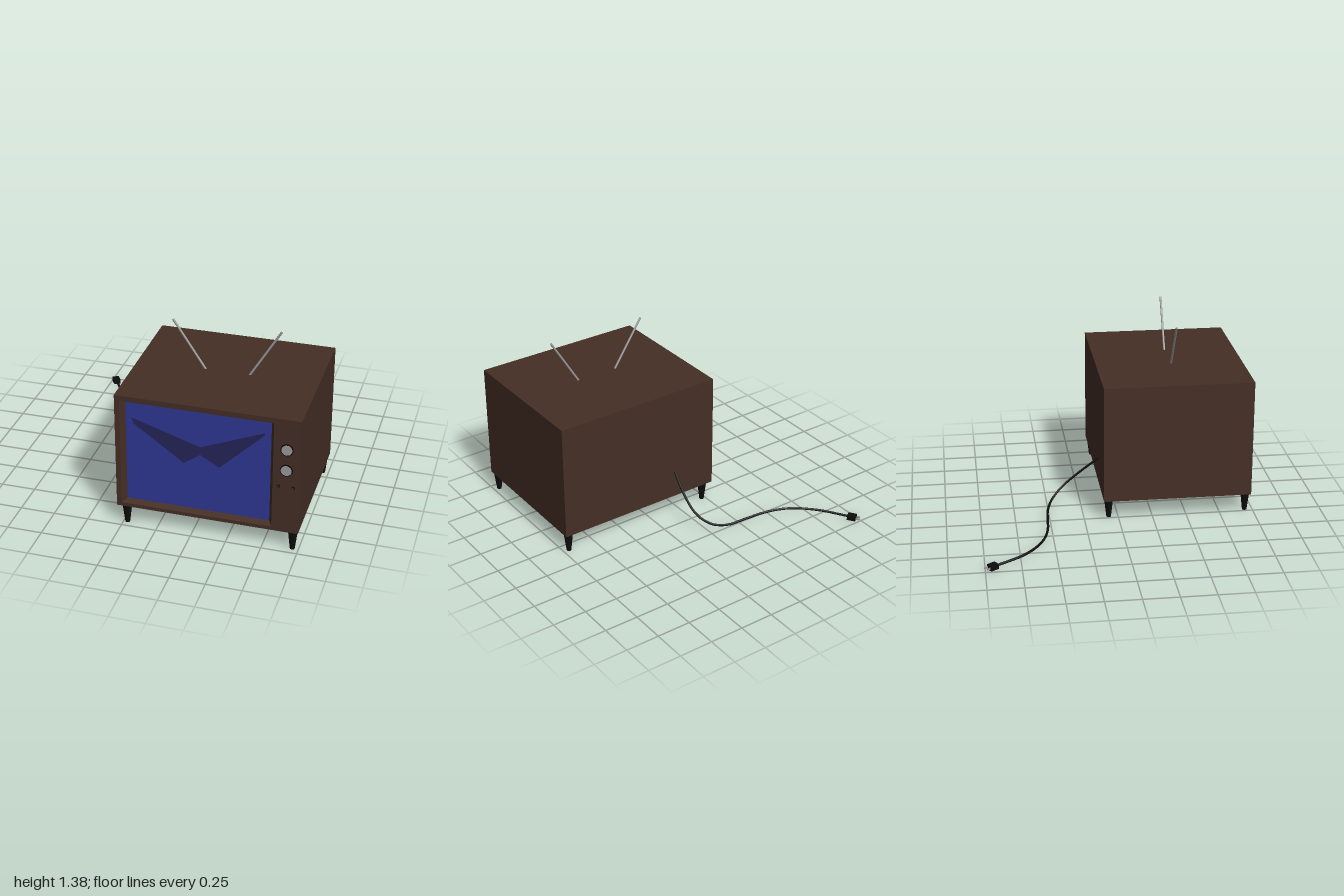
import * as THREE from 'three';

const mat = (name, color, side = THREE.FrontSide) => {
  const m = new THREE.MeshStandardMaterial({ color, side });
  m.name = name;
  return m;
};

export function createModel() {
  const wood = mat('brown wood', 0x452f25);
  const black = mat('black plastic', 0x0d0d0d);
  const metal = mat('grey metal', 0x9c9c9c);
  const blue = mat('screen blue', 0x2f3894);
  const navy = mat('dark screen mark', 0x25245a);

  const model = new THREE.Group();
  model.name = 'television';

  const add = (name, geometry, material, x = 0, y = 0, z = 0, parent = model) => {
    const mesh = new THREE.Mesh(geometry, material);
    mesh.name = name;
    mesh.position.set(x, y, z);
    parent.add(mesh);
    return mesh;
  };
  const polygon = (pts) => new THREE.Shape(pts.map(([x, y]) => new THREE.Vector2(x, y)));
  const rect = (x0, y0, x1, y1) => [[x0, y0], [x1, y0], [x1, y1], [x0, y1]];

  // cylinder between two points
  const rod = (name, a, b, radius, material) => {
    const dir = b.clone().sub(a);
    const mid = a.clone().add(b).multiplyScalar(0.5);
    const mesh = add(name, new THREE.CylinderGeometry(radius, radius, dir.length(), 12), material, mid.x, mid.y, mid.z);
    mesh.quaternion.setFromUnitVectors(new THREE.Vector3(0, 1, 0), dir.normalize());
    return mesh;
  };
  // short cylinder facing the front
  const disc = (name, radius, z0, z1, x, y, material) => {
    const mesh = add(name, new THREE.CylinderGeometry(radius, radius, z1 - z0, 24), material, x, y, (z0 + z1) / 2);
    mesh.rotation.x = Math.PI / 2;
    return mesh;
  };

  // cabinet and front frame
  const L = -0.286, R = 0.998, B = 0.145, T = 1.018, BACK = -0.108, FRONT = 0.977, INNER = 0.925;
  add('cabinet', new THREE.BoxGeometry(R - L, T - B, INNER - BACK), wood,
    (L + R) / 2, (B + T) / 2, (INNER + BACK) / 2);
  const outer = rect(-0.25, 0.172, 0.813, 0.978);
  const inner = rect(-0.224, 0.185, 0.787, 0.965);
  const face = polygon(rect(L, B, R, T));
  face.holes.push(polygon(outer));
  add('frontFrame', new THREE.ExtrudeGeometry(face, { depth: FRONT - INNER, bevelEnabled: false }), wood, 0, 0, INNER);

  // sloping surround of the screen
  const pos = [];
  for (let i = 0; i < 4; i++) {
    const j = (i + 1) % 4;
    const a = [...outer[i], FRONT], b = [...outer[j], FRONT];
    const c = [...inner[j], INNER], d = [...inner[i], INNER];
    pos.push(...a, ...b, ...c, ...a, ...c, ...d);
  }
  const slope = new THREE.BufferGeometry();
  slope.setAttribute('position', new THREE.Float32BufferAttribute(pos, 3));
  slope.computeVertexNormals();
  add('screenSurround', slope, wood);

  // screen with its dark mark
  add('screen', new THREE.ShapeGeometry(polygon(inner)), blue, 0, 0, INNER + 0.002);
  add('screenMark', new THREE.ShapeGeometry(polygon([
    [-0.185, 0.838], [0.3, 0.682], [0.745, 0.866], [0.74, 0.845], [0.435, 0.545],
    [0.3, 0.622], [0.185, 0.54], [-0.165, 0.79],
  ].reverse())), navy, 0, 0, INNER + 0.005);

  // tuning knobs with a grip ridge
  for (const y of [0.792, 0.635]) {
    disc('knobRim', 0.044, FRONT - 0.005, 0.984, 0.905, y, black);
    disc('knobCap', 0.037, FRONT - 0.005, 0.987, 0.905, y, metal);
    add('knobRidge', new THREE.BoxGeometry(0.008, 0.07, 0.012), metal, 0.905, y, 0.986);
  }
  // small buttons
  for (const x of [0.855, 0.955]) {
    disc('buttonRim', 0.011, FRONT - 0.005, 0.987, x, 0.506, black);
    disc('buttonCap', 0.008, FRONT - 0.005, 0.988, x, 0.506, wood);
  }

  // tapered legs
  for (const x of [-0.222, 0.957]) {
    for (const z of [0.943, -0.068]) {
      add('leg', new THREE.CylinderGeometry(0.034, 0.017, 0.146, 16), black, x, 0.073, z);
    }
  }

  // antennas
  const v = (x, y, z) => new THREE.Vector3(x, y, z);
  rod('rightAntenna', v(0.207, 1.005, 0.447), v(-0.031, 1.365, 0.447), 0.008, metal);
  rod('leftAntenna', v(0.508, 1.005, 0.447), v(0.729, 1.371, 0.447), 0.008, metal);

  // power cord, falling from the back and lying on the floor
  const path = [
    [0.05, -0.09], [0.068, -0.2], [0.073, -0.28], [0.065, -0.36], [0.035, -0.42], [-0.03, -0.475],
    [-0.14, -0.508], [-0.29, -0.52], [-0.45, -0.533], [-0.575, -0.563], [-0.68, -0.613],
    [-0.77, -0.685], [-0.83, -0.75], [-0.885, -0.83], [-0.945, -0.925],
  ].map(([x, z]) => {
    const fall = 0.03 + (z + 0.508) * 0.8;
    return v(x, z > -0.508 ? fall : 0.03 - Math.min(0.01, (-0.508 - z) * 0.05), z);
  });
  const curve = new THREE.CatmullRomCurve3(path, false, 'centripetal');
  add('cord', new THREE.TubeGeometry(curve, 90, 0.009, 8), black);

  // plug with two prongs
  const plug = new THREE.Group();
  plug.name = 'plug';
  plug.position.set(-0.957, 0.021, -0.947);
  plug.rotation.y = Math.atan2(-0.55, -0.83);
  model.add(plug);
  add('plugBody', new THREE.BoxGeometry(0.052, 0.036, 0.064), black, 0, 0, 0, plug);
  for (const x of [-0.014, 0.014]) {
    add('prong', new THREE.BoxGeometry(0.005, 0.014, 0.03), metal, x, 0, 0.043, plug);
  }
  return model;
}
